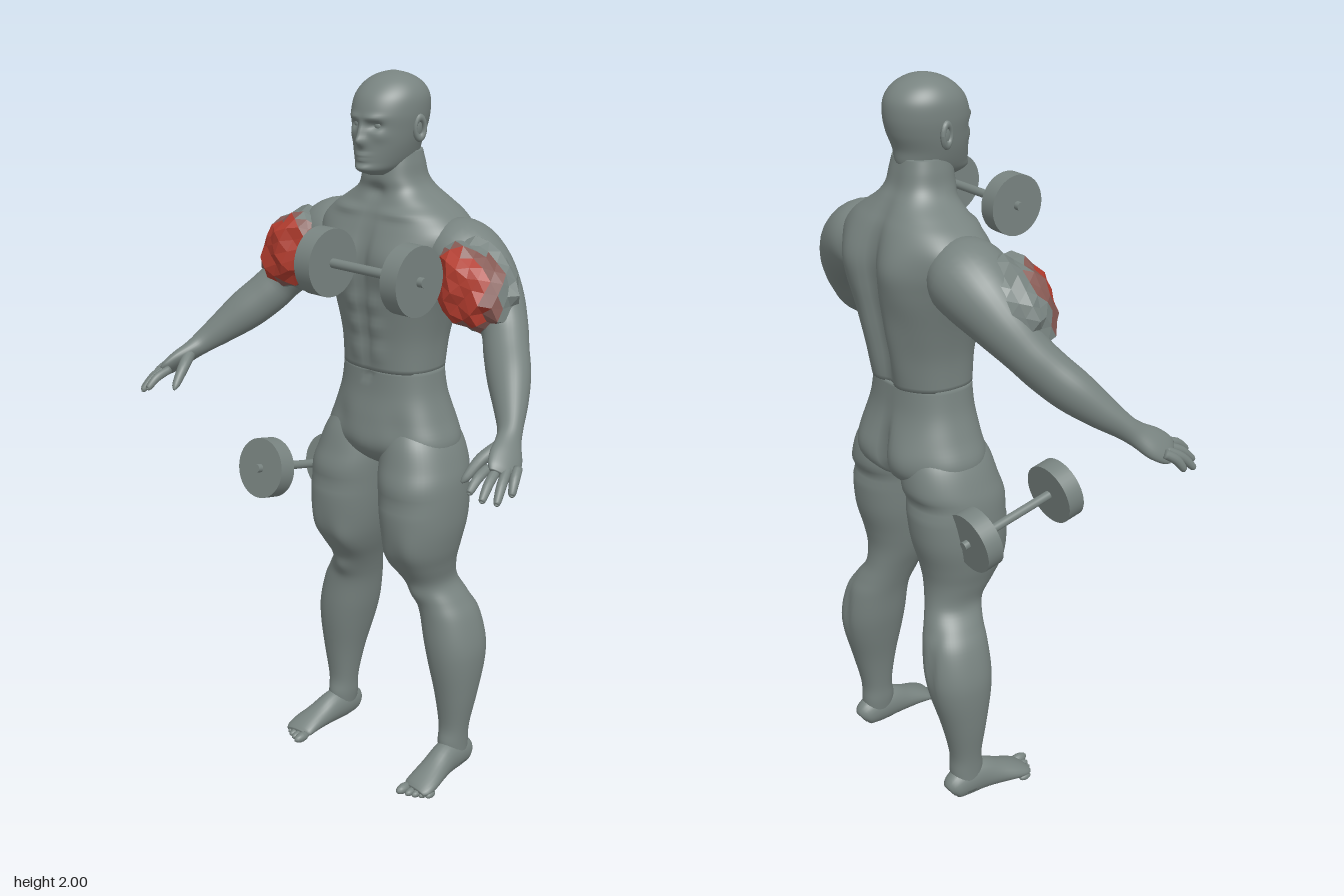
import * as THREE from 'three';

const mat = (name, color) => Object.assign(new THREE.MeshStandardMaterial({ color }), { name });
const V = (x, y, z) => new THREE.Vector3(x, y, z);
const bell = (d, s) => Math.exp(-(d * d) / (s * s));
const hash = (x, y, z) => {
  const s = Math.sin(x * 127.1 + y * 311.7 + z * 74.7) * 43758.5453;
  return s - Math.floor(s);
};

// Smoothly subdivide rows of numbers
function smoothRows(rows, sub) {
  const out = [];
  for (let i = 0; i < rows.length - 1; i++) {
    const [a, b, c, d] = [rows[Math.max(i - 1, 0)], rows[i], rows[i + 1], rows[Math.min(i + 2, rows.length - 1)]];
    for (let s = 0; s < sub; s++) {
      const t = s / sub;
      out.push(b.map((q, k) => 0.5 * (2 * q + (c[k] - a[k]) * t + (2 * a[k] - 5 * q + 4 * c[k] - d[k]) * t * t
        + (3 * q - a[k] - 3 * c[k] + d[k]) * t * t * t)));
    }
  }
  out.push(rows[rows.length - 1]);
  return out;
}

// Skin closed rings of points, capping both ends
function skin(rings) {
  const n = rings[0].length, pos = [], index = [];
  rings.forEach(r => r.forEach(p => pos.push(p.x, p.y, p.z)));
  for (let i = 0; i < rings.length - 1; i++) for (let j = 0; j < n; j++) {
    const a = i * n + j, b = i * n + (j + 1) % n;
    index.push(a, a + n, b, b, a + n, b + n);
  }
  [0, rings.length - 1].forEach((r, end) => {
    const c = rings[r].reduce((s, p) => s.add(p), V(0, 0, 0)).divideScalar(n), k = pos.length / 3;
    pos.push(c.x, c.y, c.z);
    for (let j = 0; j < n; j++) {
      const a = r * n + j, b = r * n + (j + 1) % n;
      end ? index.push(k, b, a) : index.push(k, a, b);
    }
  });
  const g = new THREE.BufferGeometry();
  g.setAttribute('position', new THREE.Float32BufferAttribute(pos, 3));
  g.setIndex(index);
  g.computeVertexNormals();
  return g;
}

// Horizontal slices: rows [y, zFront, zBack, xMin, xMax]; bumps [side, |x|, y, spreadX, spreadY, height]
function slices(rows, { seg = 48, sub = 5, e = 2, bumps = [] } = {}) {
  return skin(smoothRows(rows, sub).map(([y, zf, zb, x0, x1]) => Array.from({ length: seg }, (_, j) => {
    const t = j / seg * Math.PI * 2, c = Math.cos(t), s = Math.sin(t);
    const x = (x0 + x1) / 2 + (x1 - x0) / 2 * Math.sign(c) * Math.abs(c) ** (2 / e);
    let z = (zf + zb) / 2 + (zf - zb) / 2 * Math.sign(s) * Math.abs(s) ** (2 / e);
    for (const [side, bx, by, sx, sy, h] of bumps)
      z += side * h * bell(Math.abs(x) - bx, sx) * bell(y - by, sy) * Math.min(1, 2 * Math.max(0, side * s));
    return V(x, y, z);
  })));
}

// Limb along a path: rows [x, y, z, radiusAcross, radiusAlongRef]
function limb(rows, ref, seg = 24, sub = 4) {
  const r = smoothRows(rows, sub), at = i => V(...r[Math.min(Math.max(i, 0), r.length - 1)]);
  return skin(r.map((q, i) => {
    const t = at(i + 1).sub(at(i - 1)).normalize();
    const v = ref.clone().addScaledVector(t, -ref.dot(t)).normalize(), u = t.clone().cross(v);
    return Array.from({ length: seg }, (_, j) => at(i)
      .addScaledVector(u, q[3] * Math.cos(j / seg * Math.PI * 2))
      .addScaledVector(v, q[4] * Math.sin(j / seg * Math.PI * 2)));
  }));
}

function mirrored(geo) {
  const g = geo.clone().scale(-1, 1, 1);
  const idx = g.index ? Array.from(g.index.array) : Array.from({ length: g.attributes.position.count }, (_, i) => i);
  for (let i = 0; i < idx.length; i += 3) [idx[i], idx[i + 1]] = [idx[i + 1], idx[i]];
  g.setIndex(idx);
  g.computeVertexNormals();
  return g;
}

export function createModel() {
  const root = new THREE.Group();
  const grey = mat('bodyGrey', 0x788380), red = mat('muscleRed', 0xb23c2e), dull = mat('fadedRed', 0x865a54);
  const add = (name, geo, m = grey, parent = root) => {
    const mesh = new THREE.Mesh(geo, m);
    mesh.name = name;
    parent.add(mesh);
    return mesh;
  };
  const pair = (name, geo, m = grey) => {
    add('left' + name, geo, m);
    add('right' + name, mirrored(geo), m);
  };
  const wide = rows => rows.map(([y, f, b, w]) => [y, f, b, -w, w]);

  // Head with nose, brows, eye sockets, lips and chin
  add('head', slices(wide([[1.742, -.05, -.13, .03], [1.757, -.016, -.18, .05], [1.78, -.016, -.215, .066],
    [1.82, -.018, -.222, .08], [1.86, -.018, -.238, .089], [1.9, -.018, -.246, .094], [1.94, -.032, -.242, .091],
    [1.97, -.06, -.22, .074], [1.99, -.095, -.185, .045], [2, -.135, -.148, .008]]), {
    seg: 112, sub: 8, bumps: [[1, 0, 1.832, .015, .014, .018], [1, 0, 1.855, .01, .02, .012],
      [1, .034, 1.872, .017, .01, -.015], [1, .03, 1.892, .024, .008, .006], [1, .05, 1.845, .016, .014, .004],
      [1, 0, 1.797, .022, .005, .007], [1, 0, 1.785, .02, .005, .006], [1, 0, 1.764, .022, .01, .006]],
  }));
  pair('Eye', new THREE.SphereGeometry(.014, 16, 12).translate(.034, 1.872, -.049));
  pair('Ear', new THREE.TorusGeometry(.02, .008, 10, 20).scale(.75, 1.3, 1).rotateY(1.3).translate(.093, 1.862, -.138));
  pair('EarBowl', new THREE.SphereGeometry(.018, 12, 10).scale(.4, 1.3, .8).translate(.088, 1.862, -.138));

  // Chest, back and neck
  add('upperTorso', slices(wide([[1.215, -.045, -.263, .144], [1.3, -.04, -.277, .15], [1.38, -.028, -.296, .168],
    [1.45, -.018, -.308, .19], [1.5, -.015, -.31, .208], [1.55, -.02, -.308, .226], [1.6, -.035, -.298, .23],
    [1.64, -.052, -.285, .195], [1.67, -.065, -.268, .15], [1.7, -.072, -.25, .105], [1.73, -.07, -.232, .085],
    [1.77, -.075, -.222, .077], [1.8, -.08, -.215, .07]]), {
    seg: 96, e: 2.5, bumps: [[1, .1, 1.52, .075, .06, .018], [1, 0, 1.53, .018, .09, -.014],
      [1, .036, 1.405, .026, .024, .009], [1, .036, 1.34, .026, .024, .009], [1, .036, 1.27, .026, .028, .008],
      [1, 0, 1.33, .01, .1, -.006], [1, 0, 1.695, .03, .02, -.012], [1, .09, 1.645, .06, .012, .008],
      [-1, .09, 1.55, .06, .09, .022], [-1, .06, 1.3, .04, .12, .01], [-1, 0, 1.42, .026, .2, -.03]],
  }));

  // Hips and buttocks, meeting the torso at a waist seam
  add('hips', slices(wide([[.93, -.1, -.23, .06], [.95, -.07, -.26, .13], [.98, -.04, -.283, .19],
    [1.02, -.025, -.288, .203], [1.08, -.03, -.282, .18], [1.15, -.043, -.266, .157], [1.218, -.047, -.259, .147]]), {
    seg: 80, e: 2.4, bumps: [[-1, .085, 1.02, .06, .06, .018], [-1, 0, 1.0, .018, .09, -.04],
      [1, 0, .99, .04, .05, .008], [1, .1, 1.06, .035, .05, -.008], [1, 0, 1.2, .012, .012, -.012]],
  }));

  // Legs
  pair('Leg', slices([[.03, -.135, -.222, .19, .258], [.09, -.132, -.226, .181, .258], [.15, -.135, -.226, .178, .262],
    [.25, -.122, -.25, .162, .278], [.35, -.106, -.279, .138, .288], [.42, -.1, -.288, .122, .285],
    [.5, -.1, -.28, .108, .263], [.55, -.096, -.262, .095, .234], [.6, -.078, -.244, .078, .203],
    [.66, -.04, -.238, .054, .212], [.72, -.012, -.248, .036, .228], [.8, 0, -.27, .021, .24],
    [.9, -.002, -.279, .01, .238], [.96, -.018, -.285, .005, .224], [1.02, -.035, -.275, .015, .2],
    [1.07, -.06, -.25, .03, .165]], {
    e: 2.2, bumps: [[1, .14, .57, .03, .03, .012], [1, .08, .68, .03, .05, .012], [1, .18, .72, .03, .06, .008],
      [1, .13, .865, .1, .018, -.006], [-1, .14, .91, .1, .018, -.012], [-1, .205, .45, .012, .08, -.008],
      [1, .22, .1, .03, .03, .006]],
  }));

  // Feet and toes
  pair('Foot', limb([[.222, .035, -.238, .018, .02], [.222, .042, -.225, .032, .038], [.222, .052, -.185, .038, .05],
    [.224, .052, -.135, .039, .05], [.23, .04, -.08, .042, .037], [.236, .029, -.03, .047, .026],
    [.237, .021, 0, .046, .018], [.236, .017, .014, .036, .011]], V(0, 1, 0)));
  for (let i = 0; i < 5; i++) {
    const size = [.0145, .011, .0105, .01, .0095][i];
    pair('Toe' + (i + 1), new THREE.SphereGeometry(size, 14, 10).scale(1, 1, 2)
      .translate([.205, .228, .246, .263, .278][i], size + .002, [.025, .02, .013, .003, -.008][i]));
  }

  // Arms, palms and fingers
  const ref = V(1, 1, 0).normalize();
  pair('Arm', limb([[.12, 1.55, -.17, .06, .06], [.2, 1.545, -.17, .105, .098], [.27, 1.51, -.167, .1, .096],
    [.34, 1.452, -.152, .078, .078], [.395, 1.392, -.125, .06, .063], [.43, 1.345, -.09, .056, .062],
    [.475, 1.295, -.045, .053, .059], [.52, 1.245, .005, .042, .046], [.555, 1.205, .05, .031, .034],
    [.573, 1.182, .08, .034, .027], [.594, 1.157, .115, .045, .023], [.608, 1.137, .145, .043, .018],
    [.615, 1.127, .16, .034, .01]], ref, 32, 5));
  [[.585, 1.1, .245], [.618, 1.085, .238], [.645, 1.078, .215], [.655, 1.09, .17]].forEach((tip, i) => {
    const k = (i - 1.5) * .024, base = V(.606 + k * .75, 1.14, .143 - k * .65), mid = base.clone().lerp(V(...tip), .55);
    pair('Finger' + (i + 1), limb([[...base, .012, .012], [mid.x, mid.y + .008, mid.z, .0125, .0125],
      [...V(...tip).lerp(mid, .12), .009, .009], [...tip, .002, .002]], ref, 12));
  });
  pair('Thumb', limb([[.567, 1.178, .095, .018, .018], [.543, 1.148, .145, .016, .016],
    [.53, 1.11, .185, .011, .011], [.525, 1.098, .198, .003, .003]], ref, 12));

  // Faceted, rough upper-arm muscle, red in front and fading to grey behind
  const rough = new THREE.IcosahedronGeometry(1, 3), p = rough.attributes.position;
  const tones = [[], [], []], turn = new THREE.Matrix4().makeRotationZ(-.75);
  for (let i = 0; i < p.count; i += 3) {
    const tri = [0, 1, 2].map(k => V(0, 0, 0).fromBufferAttribute(p, i + k));
    const mid = tri[0].clone().add(tri[1]).add(tri[2]).divideScalar(3);
    const f = mid.z + .25 * (hash(mid.x, mid.y, mid.z) - .5) - .35 * Math.abs(mid.x);
    const tone = tones[f > .42 ? 0 : f > .08 ? 1 : 2];
    for (const q of tri) {
      const r = .9 + .2 * hash(...q.toArray().map(c => Math.round(c * 100) / 10));
      q.multiply(V(.132, .104, .1)).multiplyScalar(r).applyMatrix4(turn).add(V(.312, 1.49, -.108));
      tone.push(...q);
    }
  }
  [['MuscleCore', red], ['MuscleFade', dull], ['MuscleEdge', grey]].forEach(([name, m], i) => {
    const g = new THREE.BufferGeometry();
    g.setAttribute('position', new THREE.Float32BufferAttribute(tones[i], 3));
    g.computeVertexNormals();
    pair(name, g, m);
  });

  // Small ragged shards on the chest
  for (let i = 0; i < 16; i++) {
    const a = i * 2.4, r = .012 + .03 * hash(i, 1, 2);
    pair('ChestShard' + (i + 1), new THREE.TetrahedronGeometry(.009 + .005 * hash(i, 3, 1)).rotateX(i).rotateY(i * 1.7)
      .translate(.125 + r * Math.cos(a), 1.472 + r * Math.sin(a), -.012 - .012 * Math.cos(a)));
  }

  // Dumbbells, built along x
  const dumbbell = (name, x, y, z) => {
    const g = new THREE.Group();
    g.name = name;
    const rod = (part, r, len, at) => add(part, new THREE.CylinderGeometry(r, r, len, 40).rotateZ(Math.PI / 2).translate(at, 0, 0), grey, g);
    rod('bar', .012, .36, 0);
    rod('innerPlate', .085, .05, -.139);
    rod('outerPlate', .085, .05, .139);
    g.position.set(x, y, z);
    root.add(g);
    return g;
  };
  dumbbell('raisedDumbbell', .249, 1.58, .232);
  dumbbell('loweredDumbbell', -.264, .87, -.045).rotation.set(-.21, -Math.PI / 2, 0);
  return root;
}
